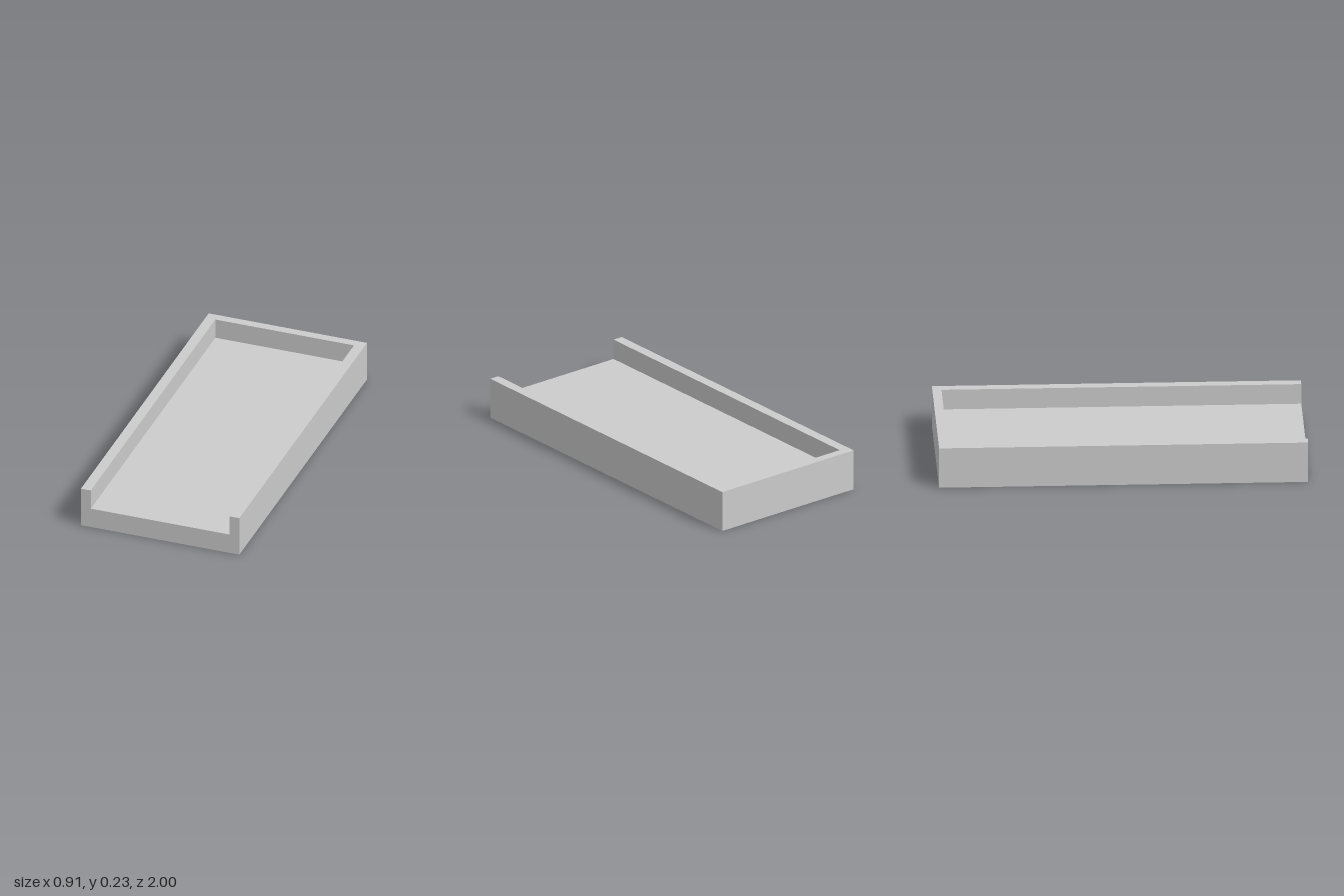
import * as THREE from 'three';

const HALF_W = 0.457, HEIGHT = 0.229, FLOOR = 0.115, INNER = 0.4;
const FRONT = 1, BACK = -1, BACK_WALL = 0.05;

export function createModel() {
  const group = new THREE.Group();
  group.name = 'openTray';
  const material = new THREE.MeshStandardMaterial({ color: 0xcccccc, flatShading: true });

  // Thick floor and two side walls: one U-shaped section, open at the front
  const section = new THREE.Shape([
    [-HALF_W, 0], [HALF_W, 0], [HALF_W, HEIGHT], [INNER, HEIGHT],
    [INNER, FLOOR], [-INNER, FLOOR], [-INNER, HEIGHT], [-HALF_W, HEIGHT],
  ].map(([x, y]) => new THREE.Vector2(x, y)));
  const channel = new THREE.Mesh(
    new THREE.ExtrudeGeometry(section, { depth: FRONT - BACK, bevelEnabled: false }), material);
  channel.name = 'floorAndSideWalls';
  channel.position.z = BACK;
  group.add(channel);

  // Thin wall closing the back, standing on the floor between the sides
  const backWall = new THREE.Mesh(
    new THREE.BoxGeometry(INNER * 2, HEIGHT - FLOOR, BACK_WALL), material);
  backWall.name = 'backWall';
  backWall.position.set(0, (HEIGHT + FLOOR) / 2, BACK + BACK_WALL / 2);
  group.add(backWall);

  return group;
}
